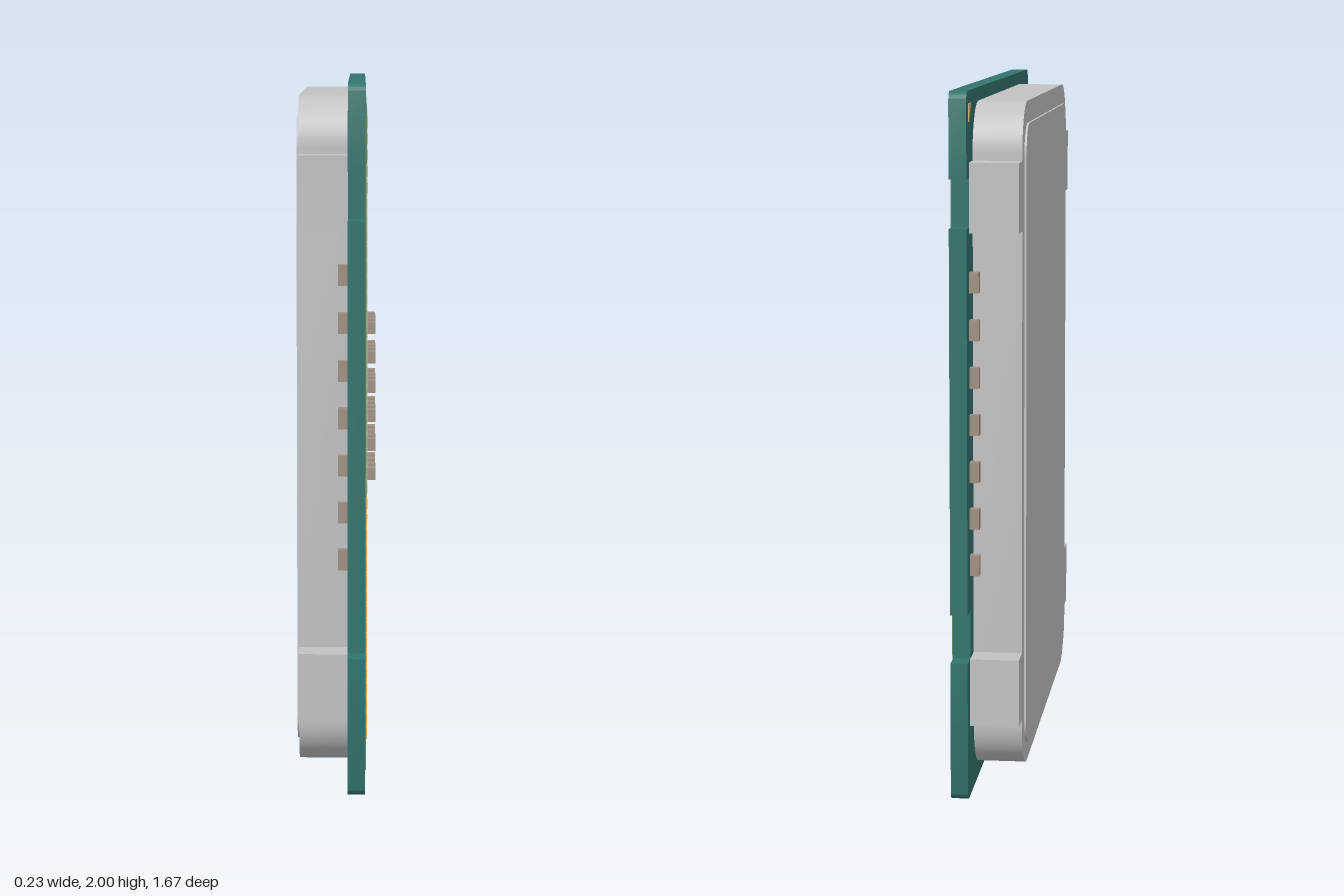
import * as THREE from 'three';
import { mergeGeometries, toCreasedNormals } from 'three/addons/utils/BufferGeometryUtils.js';

const material = (name, color) => {
  const m = new THREE.MeshStandardMaterial({ color });
  m.name = name;
  return m;
};

// Rounded outline; the side edges can carry rectangular notches [yLow, yHigh]
function outline(halfW, y0, y1, r, notches = [], depth = 0) {
  const s = new THREE.Shape();
  s.moveTo(-halfW + r, y0);
  s.lineTo(halfW - r, y0);
  s.absarc(halfW - r, y0 + r, r, -Math.PI / 2, 0, false);
  for (const [a, b] of notches) {
    s.lineTo(halfW, a);
    s.lineTo(halfW - depth, a);
    s.lineTo(halfW - depth, b);
    s.lineTo(halfW, b);
  }
  s.absarc(halfW - r, y1 - r, r, 0, Math.PI / 2, false);
  s.absarc(-halfW + r, y1 - r, r, Math.PI / 2, Math.PI, false);
  for (const [a, b] of [...notches].reverse()) {
    s.lineTo(-halfW, b);
    s.lineTo(-halfW + depth, b);
    s.lineTo(-halfW + depth, a);
    s.lineTo(-halfW, a);
  }
  s.absarc(-halfW + r, y0 + r, r, Math.PI, Math.PI * 1.5, false);
  return s;
}

// Extrude an upright outline along x, from x0 to x1
function slab(shape, x0, x1, curveSegments = 8) {
  const g = new THREE.ExtrudeGeometry(shape, { depth: x1 - x0, bevelEnabled: false, curveSegments });
  g.rotateY(Math.PI / 2);
  g.translate(x0, 0, 0);
  return toCreasedNormals(g, 0.6);
}

// Box from x0 to x1, centred on y and z
function block(x0, x1, y, z, h, d) {
  return new THREE.BoxGeometry(x1 - x0, h, d).translate((x0 + x1) / 2, y, z);
}

export function createModel() {
  const model = new THREE.Group();
  model.name = 'processor';
  const teal = material('teal board', 0x33746d);
  const green = material('green contact field', 0x5f8c6c);
  const gold = material('gold contacts', 0xd8b470);
  const metal = material('lid metal', 0xc2c2c4);
  const taupe = material('component taupe', 0xa09083);

  const add = (name, geometry, mat) => {
    const mesh = new THREE.Mesh(geometry, mat);
    mesh.name = name;
    model.add(mesh);
  };

  // Circuit board with four edge notches, and the contact field on it
  const notches = [[0.40, 0.54], [1.625, 1.76]];
  add('board', slab(outline(0.833, 0, 2, 0.03, notches, 0.063), 0.032, 0.081), teal);
  add('contactField', block(0.08, 0.084, 1, 0, 1.88, 1.536), green);

  // Grid of contact pads around an empty centre
  const pads = [];
  for (let c = 0; c < 33; c++) {
    for (let r = 0; r < 40; r++) {
      if (c >= 11 && c <= 20 && r >= 13 && r <= 26) continue;
      pads.push(block(0.083, 0.087, 1.888 - r * 0.04446, 0.711 - c * 0.04458, 0.028, 0.028));
    }
  }
  add('contactPads', mergeGeometries(pads), gold);

  // Small components in the empty centre
  const chips = [];
  for (let c = 0; c < 4; c++) {
    for (let r = 0; r < 6; r++) {
      chips.push(block(0.083, 0.113, 1.252 - r * 0.0892, 0.112 - c * 0.0886, 0.036, 0.042));
    }
  }
  add('centreComponents', mergeGeometries(chips), taupe);

  // Metal lid with a slightly raised face
  add('lid', slab(outline(0.692, 0.042, 1.962, 0.14), -0.107, 0.032), metal);
  add('lidFace', slab(outline(0.635, 0.1, 1.9, 0.085), -0.113, -0.106), metal);

  // Lid lugs and the row of components along each long edge
  const lugs = [];
  const edgeChips = [];
  for (const side of [-1, 1]) {
    for (const y of [0.302, 1.705]) lugs.push(block(-0.107, 0.032, y, side * 0.729, 0.195, 0.098));
    for (let i = 0; i < 7; i++) {
      edgeChips.push(block(0.005, 0.033, 0.67 + i * 0.1335, side * 0.763, 0.058, 0.03));
    }
  }
  add('lidLugs', mergeGeometries(lugs), metal);
  add('edgeComponents', mergeGeometries(edgeChips), taupe);

  // Corner orientation marker on the lid side of the board
  const tri = new THREE.Shape([
    new THREE.Vector2(0.79, 1.965), new THREE.Vector2(0.74, 1.965), new THREE.Vector2(0.79, 1.915),
  ]);
  add('cornerMarker', slab(tri, 0.029, 0.033), gold);

  return model;
}
